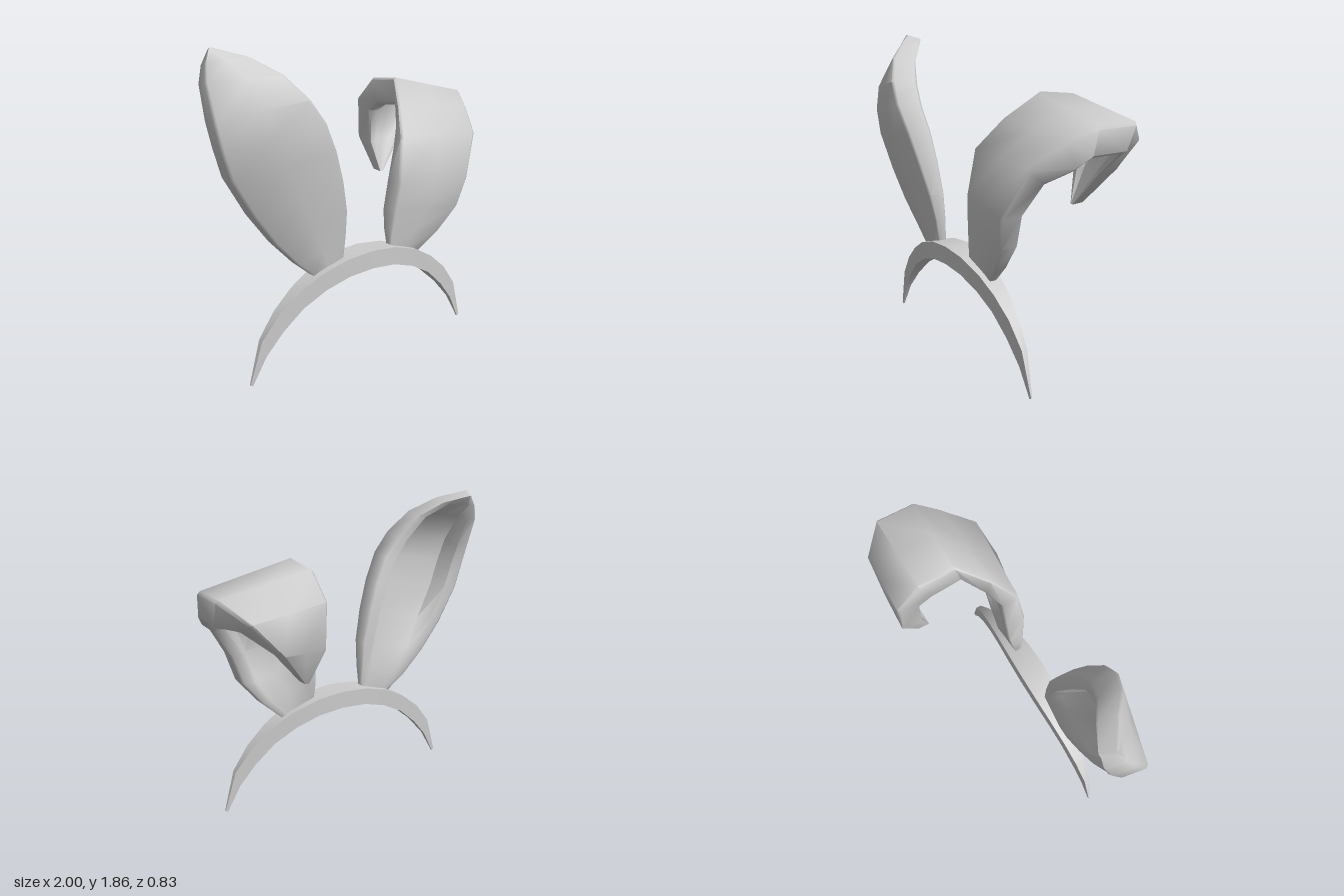
import * as THREE from 'three';
import { toCreasedNormals } from 'three/addons/utils/BufferGeometryUtils.js';

const V = (p) => new THREE.Vector3(...p);

// Skins a row of closed cross-sections and caps both ends
function loft(name, sections, crease) {
  const n = sections[0].length;
  const last = (sections.length - 1) * n;
  const index = [];
  for (let i = 0; i < sections.length - 1; i++) {
    for (let j = 0; j < n; j++) {
      const k = (j + 1) % n;
      const a = i * n + j, b = i * n + k, c = b + n, d = a + n;
      index.push(a, b, c, a, c, d);
    }
  }
  for (let j = 1; j < n - 1; j++) {
    index.push(0, j + 1, j, last, last + j, last + j + 1);
  }
  const geometry = new THREE.BufferGeometry().setFromPoints(sections.flat());
  geometry.setIndex(index);
  const mesh = new THREE.Mesh(
    toCreasedNormals(geometry, crease),
    new THREE.MeshStandardMaterial({ color: 0xcccccc })
  );
  mesh.name = name;
  return mesh;
}

// Headband: half arch as [outer x, y, inner x, y, half depth], mirrored
function headband() {
  const half = [
    [0, 0.655, 0, 0.545, 0.082],
    [0.18, 0.638, 0.17, 0.53, 0.077],
    [0.36, 0.583, 0.33, 0.48, 0.063],
    [0.5, 0.505, 0.48, 0.4, 0.047],
    [0.63, 0.4, 0.61, 0.285, 0.031],
    [0.74, 0.26, 0.715, 0.16, 0.017],
    [0.815, 0.01, 0.8, 0, 0.004],
  ];
  const mirrored = half.slice(1).reverse().map(([a, b, c, d, w]) => [-a, b, -c, d, w]);
  const sections = [...mirrored, ...half].map(([ox, oy, ix, iy, w]) => [
    V([ox, oy, 0.225 - w]), V([ox, oy, 0.225 + w]),
    V([ix, iy, 0.225 + w]), V([ix, iy, 0.225 - w]),
  ]);
  return loft('headband', sections, 0.5);
}

// Ear: each station has its two front edges (low x, high x), the offset
// to the back face, and the depth of the hollow as a share of thickness
function ear(name, stations) {
  const sections = stations.map(([low, high, offset, h]) => {
    const outline = [
      [0, 0.1], [0.03, 0], [0.5, 0], [0.97, 0], [1, 0.1],   // front face
      [1, 0.9], [0.97, 1], [0.85, 1],                       // side and rim
      [0.77, 1 - h], [0.5, 1 - h * 1.1], [0.23, 1 - h],     // hollow
      [0.15, 1], [0.03, 1], [0, 0.9],                       // rim and side
    ];
    return outline.map(([u, d]) =>
      V(low).lerp(V(high), u).addScaledVector(V(offset), d));
  });
  return loft(name, sections, 1.0);
}

export function createModel() {
  const group = new THREE.Group();
  group.name = 'earHeadband';
  group.add(headband());

  // Upright ear, leaning outward with its tip bent back
  group.add(ear('uprightEar', [
    [[-0.38, 0.56, 0.245], [-0.18, 0.63, 0.25], [0, 0, -0.045], 0],
    [[-0.5, 0.66, 0.25], [-0.18, 0.77, 0.275], [0, 0, -0.07], 0],
    [[-0.65, 0.81, 0.27], [-0.195, 0.93, 0.31], [0.005, 0, -0.1], 0.35],
    [[-0.79, 0.99, 0.29], [-0.25, 1.12, 0.35], [0.01, 0, -0.13], 0.6],
    [[-0.93, 1.21, 0.31], [-0.32, 1.3, 0.385], [0.02, 0, -0.15], 0.65],
    [[-0.98, 1.37, 0.31], [-0.41, 1.47, 0.415], [0.03, -0.01, -0.16], 0.65],
    [[-1, 1.52, 0.28], [-0.5, 1.6, 0.4], [0.03, -0.02, -0.16], 0.65],
    [[-0.985, 1.7, 0.18], [-0.62, 1.73, 0.335], [0.03, -0.02, -0.14], 0.45],
    [[-0.955, 1.79, 0.13], [-0.75, 1.82, 0.21], [0.03, -0.02, -0.11], 0],
    [[-0.915, 1.865, 0.1], [-0.89, 1.862, 0.1], [0.03, -0.025, -0.08], 0],
  ]));

  // Folded ear, flopping over to the back
  group.add(ear('foldedEar', [
    [[0.18, 0.63, 0.25], [0.41, 0.55, 0.245], [0, 0, -0.045], 0],
    [[0.18, 0.74, 0.255], [0.54, 0.67, 0.29], [0, 0, -0.08], 0],
    [[0.19, 0.85, 0.265], [0.66, 0.82, 0.33], [0, 0, -0.11], 0.4],
    [[0.215, 1.02, 0.28], [0.71, 1.0, 0.36], [0.01, 0, -0.13], 0.6],
    [[0.25, 1.29, 0.25], [0.835, 1.27, 0.285], [0.02, -0.08, -0.1], 0.65],
    [[0.335, 1.46, 0.12], [0.935, 1.41, 0.1], [0.01, -0.15, -0.03], 0.65],
    [[0.44, 1.61, -0.05], [1, 1.485, -0.03], [-0.01, -0.16, 0.03], 0.65],
    [[0.44, 1.587, -0.27], [1, 1.49, -0.27], [-0.01, -0.16, 0.06], 0.65],
    [[0.44, 1.44, -0.42], [0.88, 1.375, -0.405], [0, -0.07, 0.13], 0.6],
    [[0.45, 1.18, -0.42], [0.7, 1.18, -0.41], [0, -0.02, 0.13], 0.3],
    [[0.5, 0.965, -0.31], [0.525, 0.965, -0.31], [0, -0.005, 0.07], 0],
  ]));
  return group;
}
